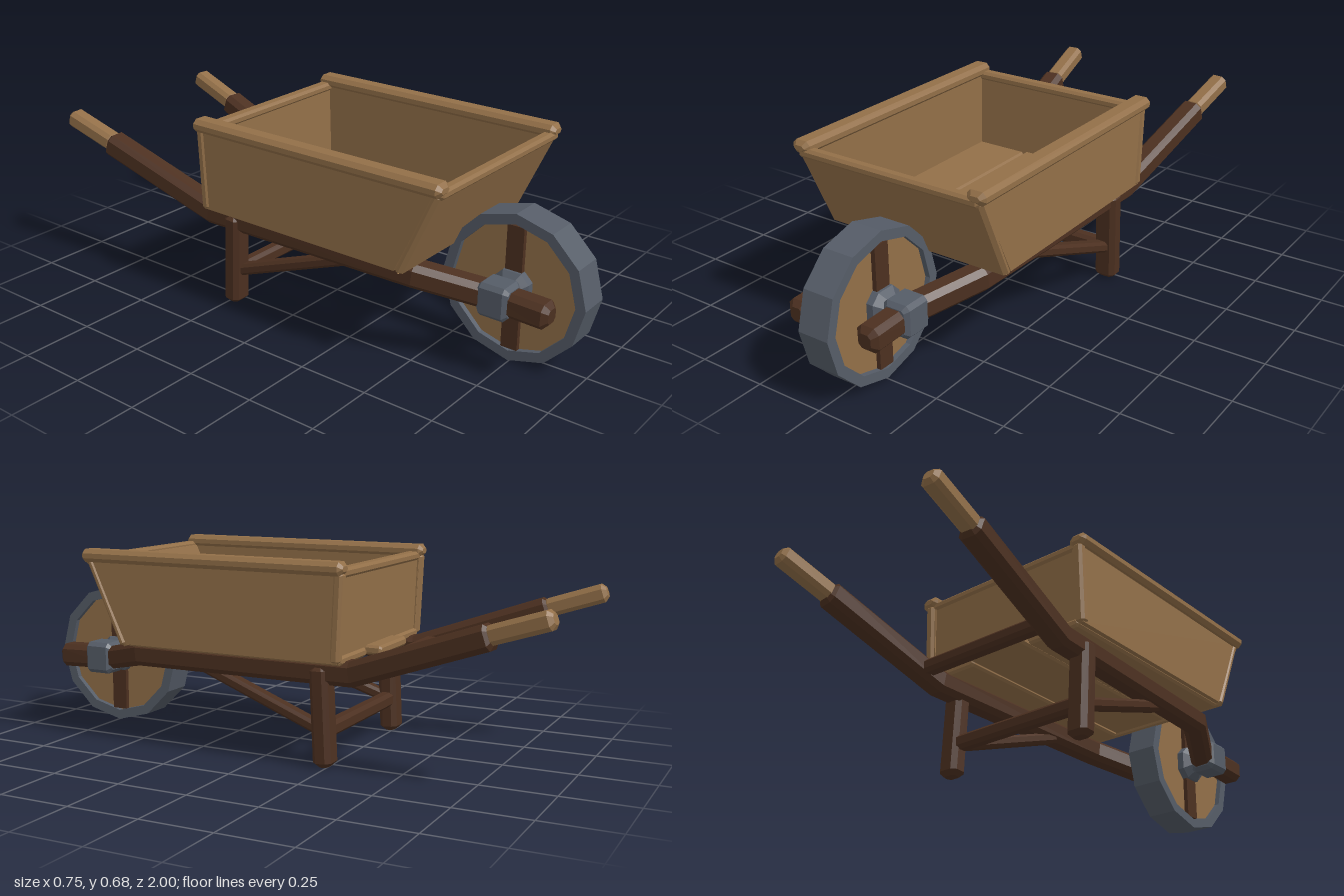
import * as THREE from 'three';

const material = (name, color) => {
  const m = new THREE.MeshStandardMaterial({ color });
  m.name = name;
  return m;
};

// Chamfered beam swept along a path, w across and h in height, with bevelled ends.
function beam(path, w, h, bevel = 0.012) {
  const pts = path.map((p) => new THREE.Vector3(...p));
  const n = pts.length;
  const rings = [];
  const addRing = (center, t, inset) => {
    const up = Math.abs(t.y) > 0.8 ? new THREE.Vector3(0, 0, 1) : new THREE.Vector3(0, 1, 0);
    const side = new THREE.Vector3().crossVectors(up, t).normalize();
    const top = new THREE.Vector3().crossVectors(t, side);
    const a = w / 2 - inset, b = h / 2 - inset, c = bevel * (inset ? 0.6 : 1);
    const section = [[a, c - b], [a, b - c], [a - c, b], [c - a, b],
      [-a, b - c], [-a, c - b], [c - a, -b], [a - c, -b]];
    rings.push(section.map(([u, v]) => center.clone().addScaledVector(side, u).addScaledVector(top, v)));
  };
  pts.forEach((p, i) => {
    const before = i > 0 ? p.clone().sub(pts[i - 1]).normalize() : new THREE.Vector3();
    const after = i < n - 1 ? pts[i + 1].clone().sub(p).normalize() : new THREE.Vector3();
    const t = before.add(after).normalize();
    if (i === 0) addRing(p, t, bevel);
    addRing(i === 0 ? p.clone().addScaledVector(t, bevel)
      : i === n - 1 ? p.clone().addScaledVector(t, -bevel) : p, t, 0);
    if (i === n - 1) addRing(p, t, bevel);
  });
  const tris = [];
  for (let i = 0; i < rings.length - 1; i++) {
    for (let j = 0; j < 8; j++) {
      const k = (j + 1) % 8;
      const [a, b, c, d] = [rings[i][j], rings[i][k], rings[i + 1][k], rings[i + 1][j]];
      tris.push(a, b, c, a, c, d);
    }
  }
  const first = rings[0], last = rings[rings.length - 1];
  for (let j = 1; j < 7; j++) {
    tris.push(first[0], first[j + 1], first[j], last[0], last[j], last[j + 1]);
  }
  const g = new THREE.BufferGeometry().setFromPoints(tris);
  g.computeVertexNormals();
  return g;
}

// Flat board: an outline of [z, y] points extruded from x0 to x1.
function board(outline, x0, x1) {
  const shape = new THREE.Shape(outline.map(([z, y]) => new THREE.Vector2(z, y)));
  const g = new THREE.ExtrudeGeometry(shape, { depth: x1 - x0, bevelEnabled: false });
  return g.rotateY(-Math.PI / 2).translate(x1, 0, 0);
}

function faceted(geometry) {
  const g = geometry.toNonIndexed();
  g.computeVertexNormals();
  return g;
}

export function createModel() {
  const model = new THREE.Group();
  model.name = 'wheelbarrow';
  const tan = material('light wood', 0x926f48);
  const dark = material('dark wood', 0x4c3020);
  const iron = material('iron', 0x555c67);
  const add = (name, geometry, mat, parent = model) => {
    const mesh = new THREE.Mesh(geometry, mat);
    mesh.name = name;
    parent.add(mesh);
    return mesh;
  };

  // Wheel: twelve-sided iron rim around a wooden disc
  const wheel = new THREE.Group();
  wheel.name = 'wheel';
  wheel.position.set(0, 0.26, 0.745);
  model.add(wheel);
  const profile = [[0.257, -0.057], [0.257, 0.057], [0.222, 0.057], [0.222, -0.057], [0.257, -0.057]]
    .map(([r, y]) => new THREE.Vector2(r, y));
  const sideways = (g) => faceted(g.rotateZ(Math.PI / 2));
  add('rim', sideways(new THREE.LatheGeometry(profile, 12)), iron, wheel);
  add('disc', sideways(new THREE.CylinderGeometry(0.224, 0.224, 0.076, 12)), tan, wheel);
  add('spoke', new THREE.BoxGeometry(0.108, 0.43, 0.06), dark, wheel);
  add('hub', beam([[-0.093, 0, 0], [0.093, 0, 0]], 0.125, 0.125, 0.03), iron, wheel);
  add('axle', beam([[-0.185, 0, 0], [0.185, 0, 0]], 0.06, 0.06, 0.015), iron, wheel);

  // Frame parts on both sides
  for (const s of [-1, 1]) {
    const side = new THREE.Group();
    side.name = s > 0 ? 'leftFrame' : 'rightFrame';
    model.add(side);
    const rail = [[0.135, 0.256, 0.93], [0.137, 0.263, 0.7], [0.238, 0.311, 0.5],
      [0.272, 0.32, -0.335], [0.318, 0.487, -0.81]];
    add('rail', beam(rail.map(([x, y, z]) => [s * x, y, z]), 0.084, 0.084, 0.018), dark, side);
    add('grip', beam([[s * 0.317, 0.484, -0.79], [s * 0.335, 0.552, -0.995]], 0.066, 0.062, 0.014), tan, side);
    add('axleBracket', beam([[s * 0.14, 0.262, 0.69], [s * 0.14, 0.262, 0.8]], 0.1, 0.114, 0.014), iron, side);
    add('leg', beam([[s * 0.28, 0.003, -0.238], [s * 0.28, 0.34, -0.222]], 0.08, 0.066, 0.016), dark, side);
    add('strut', beam([[s * 0.235, 0.29, 0.25], [s * 0.274, 0.125, -0.22]], 0.05, 0.04, 0.01), dark, side);
  }
  add('legCrossbar', beam([[-0.27, 0.121, -0.232], [0.27, 0.121, -0.232]], 0.05, 0.053), dark);
  add('rearCrossbar', beam([[-0.27, 0.343, -0.405], [0.27, 0.343, -0.405]], 0.055, 0.05), dark);

  // Tray floor planks
  for (const s of [-1, 1]) {
    add('sidePlank', beam([[s * 0.228, 0.365, -0.315], [s * 0.228, 0.365, 0.505]], 0.212, 0.03, 0.008), tan);
  }
  add('middlePlank', beam([[0, 0.369, -0.36], [0, 0.369, 0.49]], 0.23, 0.032, 0.008), tan);

  // Tray sides, with top rails and rear corner posts
  const outline = [[-0.308, 0.36], [0.495, 0.36], [0.635, 0.65], [-0.32, 0.65]];
  for (const s of [-1, 1]) {
    add('sideBoard', board(outline, s * 0.333 - 0.018, s * 0.333 + 0.018), tan);
    add('sideTopRail', beam([[s * 0.34, 0.662, -0.333], [s * 0.34, 0.662, 0.665]], 0.07, 0.045, 0.014), tan);
    add('rearPost', beam([[s * 0.338, 0.36, -0.3], [s * 0.338, 0.65, -0.313]], 0.038, 0.034, 0.009), tan);
  }

  // Slanted front board, rear board and their top edges
  add('frontBoard', beam([[0, 0.352, 0.505], [0, 0.65, 0.641]], 0.712, 0.032, 0.012), tan);
  add('rearBoard', board([[-0.305, 0.37], [-0.278, 0.37], [-0.285, 0.65], [-0.315, 0.65]], -0.33, 0.33), tan);
  add('frontTopRail', beam([[-0.35, 0.645, 0.643], [0.35, 0.645, 0.643]], 0.04, 0.032, 0.009), tan);
  add('rearTopRail', beam([[-0.34, 0.645, -0.3], [0.34, 0.645, -0.3]], 0.045, 0.032, 0.009), tan);
  return model;
}
